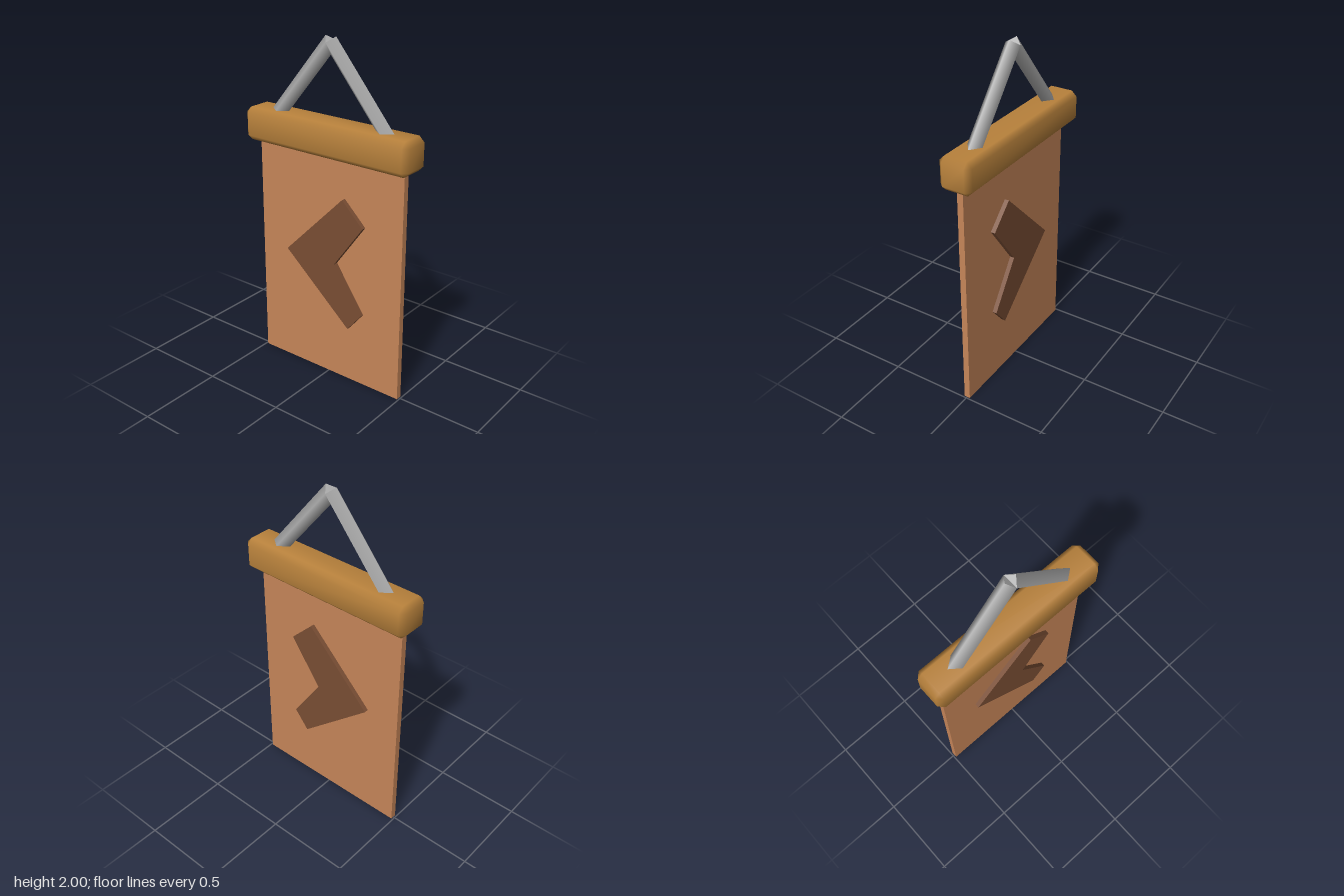
import * as THREE from 'three';
import { mergeVertices } from 'three/addons/utils/BufferGeometryUtils.js';
import { ConvexGeometry } from 'three/addons/geometries/ConvexGeometry.js';

const material = (name, color) => {
  const m = new THREE.MeshStandardMaterial({ color });
  m.name = name;
  return m;
};

// Box with single-step chamfers on every edge and softly shaded normals
function chamferedBox(hx, hy, hz, c) {
  const points = [];
  for (const x of [-1, 1]) for (const y of [-1, 1]) for (const z of [-1, 1]) {
    points.push(
      new THREE.Vector3(x * hx, y * (hy - c), z * (hz - c)),
      new THREE.Vector3(x * (hx - c), y * hy, z * (hz - c)),
      new THREE.Vector3(x * (hx - c), y * (hy - c), z * hz)
    );
  }
  const hull = new ConvexGeometry(points);
  hull.deleteAttribute('normal');
  const smooth = mergeVertices(hull, 1e-4);
  smooth.computeVertexNormals();
  return smooth;
}

export function createModel() {
  const group = new THREE.Group();
  group.name = 'hangingBanner';

  const leather = material('tan cloth', 0xc78659);
  const dark = material('dark brown', 0x7a4e34);
  const wood = material('golden wood', 0xb9823c);
  const metal = material('grey metal', 0xb2b2b2);

  const add = (name, geometry, mat) => {
    const mesh = new THREE.Mesh(geometry, mat);
    mesh.name = name;
    group.add(mesh);
    return mesh;
  };

  // Hanging panel, its top tucked into the bar
  add('panel', new THREE.BoxGeometry(0.98, 1.42, 0.036), leather).position.y = 0.71;

  // Bent emblem that passes through the panel and shows on both sides
  const outline = [[0.11, 1.134], [-0.286, 0.735], [0.154, 0.35], [0.244, 0.46], [0.058, 0.733], [0.249, 0.998]];
  const shape = new THREE.Shape(outline.map(([x, y]) => new THREE.Vector2(x, y)));
  const emblem = new THREE.ExtrudeGeometry(shape, { depth: 0.088, bevelEnabled: false });
  emblem.translate(0, 0, -0.044);
  add('emblem', emblem, dark);

  // Crossbar
  add('crossbar', chamferedBox(0.546, 0.095, 0.097, 0.031), wood).position.y = 1.456;

  // Two square rods meeting at the top
  const apex = new THREE.Vector3(0, 1.971, 0);
  for (const side of [-1, 1]) {
    const foot = new THREE.Vector3(side * 0.403, 1.487, 0);
    const rod = add(
      side < 0 ? 'rightHangerRod' : 'leftHangerRod',
      new THREE.CylinderGeometry(0.045, 0.045, apex.distanceTo(foot), 4),
      metal
    );
    rod.position.copy(apex).add(foot).multiplyScalar(0.5);
    rod.rotation.z = Math.atan2(foot.x, apex.y - foot.y);
  }

  return group;
}
